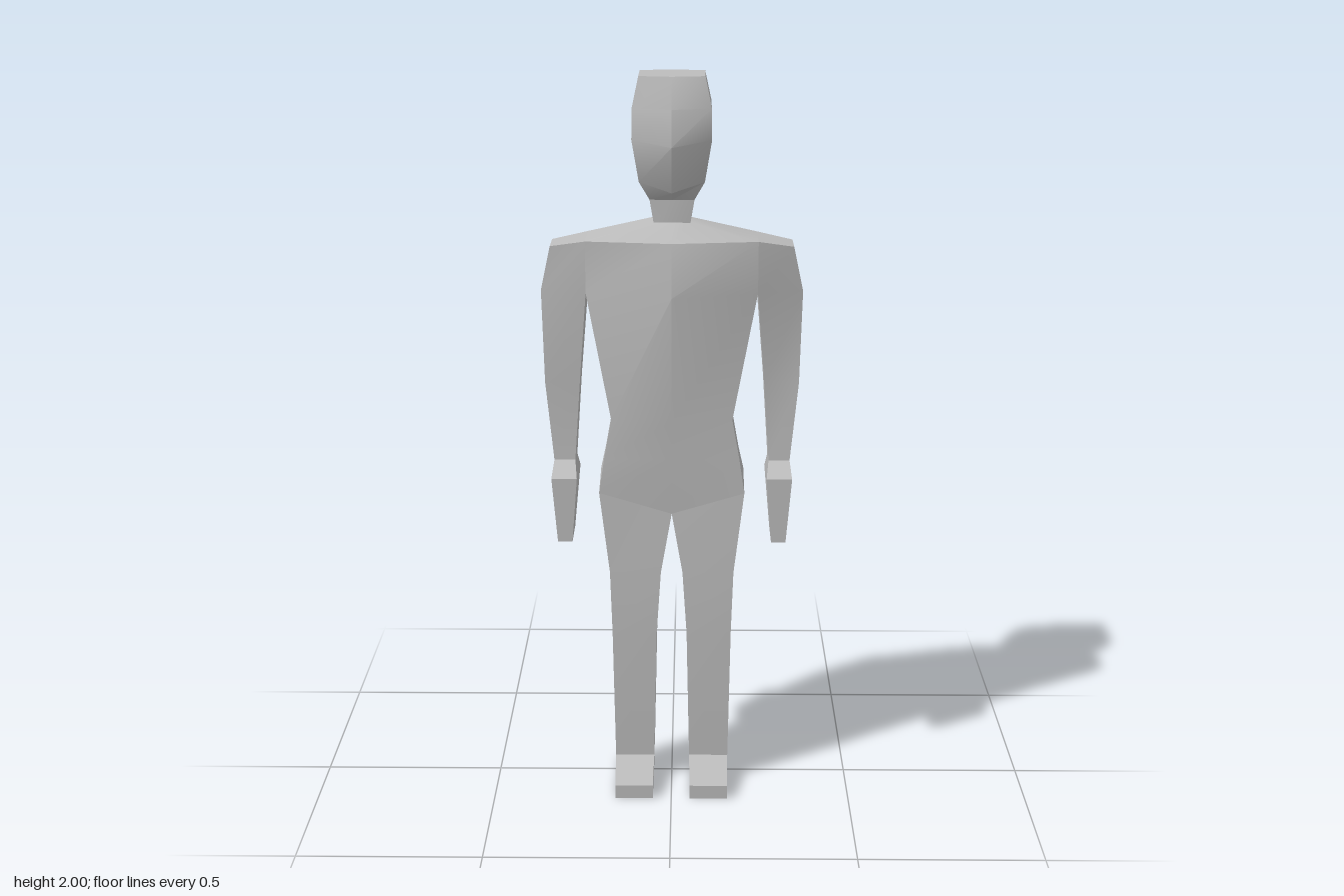
import * as THREE from 'three';
import { toCreasedNormals } from 'three/addons/utils/BufferGeometryUtils.js';

const skin = new THREE.MeshStandardMaterial({ color: 0xbcbcbc });
skin.name = 'plain grey';

// Join rings of [x, y, z] corners, listed bottom to top, counter-clockwise from above
function loft(name, rings, capBottom, capTop) {
  const pos = [];
  const tri = (a, b, c) => pos.push(...a, ...b, ...c);
  const n = rings[0].length;
  for (let i = 0; i < rings.length - 1; i++) {
    for (let j = 0; j < n; j++) {
      const k = (j + 1) % n;
      const [a, b, c, d] = [rings[i][j], rings[i][k], rings[i + 1][k], rings[i + 1][j]];
      tri(a, b, c);
      tri(a, c, d);
    }
  }
  const last = rings[rings.length - 1];
  for (let j = 1; j < n - 1; j++) {
    if (capBottom) tri(rings[0][0], rings[0][j + 1], rings[0][j]);
    if (capTop) tri(last[0], last[j], last[j + 1]);
  }
  const geo = new THREE.BufferGeometry();
  geo.setAttribute('position', new THREE.Float32BufferAttribute(pos, 3));
  const mesh = new THREE.Mesh(toCreasedNormals(geo, 0.5), skin);
  mesh.name = name;
  return mesh;
}

const flip = ([x, y, z]) => [-x, y, z];

// Complete a half ring that runs from the front centre to the back centre
const whole = (half) => [...half, ...half.slice(1, -1).reverse().map(flip)];

// Mirror a whole ring to the other side, keeping its winding
const mirrored = (ring) => ring.map(flip).reverse();

// Torso level: front centre, side front, side back, back, back centre
const torsoLevel = (y, zf, x, z1, z2, xb, zb, zc) =>
  whole([[0, y, zf], [x, y, z1], [x, y, z2], [xb, y, zb], [0, y, zc]]);

// Head level: front centre, side front, side back, back centre
const headLevel = (yf, zf, x, y, z1, z2, zb) =>
  whole([[0, yf, zf], [x, y, z1], [x, y, z2], [0, y, zb]]);

// Limb level: inner and outer x, front y and z, back y and z
const armLevel = (x0, x1, yf, zf, yb, zb) =>
  [[x0, yf, zf], [x1, yf, zf], [x1, yb, zb], [x0, yb, zb]];
const legLevel = (x0, x1, yf, zf, yb, zb) =>
  [[x0, yf, zf], [x1, yf, zf], [x1, yb, zb], [(x0 + x1) / 2, yb, zb], [x0, yb, zb]];

export function createModel() {
  const model = new THREE.Group();
  model.name = 'figure';

  // Hip line, shared by the torso and both legs
  const hip = [[0, 0.81, 0.045], [0.2, 0.87, 0.045], [0.2, 0.9, -0.09], [0.12, 0.85, -0.13], [0, 0.82, -0.115]];

  // Torso from hips to the base of the neck
  model.add(loft('torso', [
    whole(hip),
    torsoLevel(0.97, 0.055, 0.185, 0.047, -0.075, 0.09, -0.1, -0.105),
    torsoLevel(1.08, 0.06, 0.165, 0.04, -0.08, 0.08, -0.11, -0.115),
    torsoLevel(1.43, 0.095, 0.23, 0.03, -0.125, 0.1, -0.145, -0.148),
    torsoLevel(1.57, 0.06, 0.23, 0.03, -0.11, 0.1, -0.14, -0.15),
    torsoLevel(1.61, -0.03, 0.045, -0.04, -0.115, 0.025, -0.12, -0.122),
  ], false, false));

  // Neck and head
  model.add(loft('head', [
    headLevel(1.6, -0.03, 0.048, 1.6, -0.035, -0.115, -0.122),
    headLevel(1.67, -0.03, 0.06, 1.67, -0.035, -0.118, -0.125),
    headLevel(1.7, 0.038, 0.087, 1.725, 0.01, -0.13, -0.14),
    headLevel(1.825, 0.08, 0.105, 1.84, 0.04, -0.162, -0.174),
    headLevel(1.92, 0.06, 0.104, 1.92, 0.033, -0.15, -0.162),
    headLevel(2, 0.025, 0.087, 2, 0.01, -0.125, -0.138),
  ], false, true));

  // Arm with a mitten hand, bottom to top
  const arm = [
    armLevel(0.275, 0.315, 0.73, 0.055, 0.73, -0.07),
    armLevel(0.26, 0.33, 0.915, 0.057, 0.9, -0.115),
    armLevel(0.267, 0.325, 0.95, -0.005, 0.94, -0.095),
    armLevel(0.252, 0.347, 1.17, -0.015, 1.17, -0.118),
    [[0.23, 1.43, 0.03], [0.352, 1.43, -0.003], [0.352, 1.43, -0.115], [0.23, 1.43, -0.125]],
    [[0.23, 1.57, 0.03], [0.325, 1.553, 0.01], [0.325, 1.553, -0.085], [0.23, 1.57, -0.11]],
  ];

  // Leg with a wedge foot, bottom to top
  const leg = [
    legLevel(0.052, 0.158, 0, 0.175, 0, -0.07),
    legLevel(0.052, 0.158, 0.04, 0.175, 0.03, -0.07),
    legLevel(0.05, 0.16, 0.075, 0.055, 0.075, -0.05),
    legLevel(0.042, 0.166, 0.46, 0.063, 0.46, -0.055),
    legLevel(0.03, 0.172, 0.64, 0.056, 0.66, -0.08),
    hip,
  ];

  model.add(loft('leftArm', arm, true, true));
  model.add(loft('rightArm', arm.map(mirrored), true, true));
  model.add(loft('leftLeg', leg, true, false));
  model.add(loft('rightLeg', leg.map(mirrored), true, false));
  return model;
}
